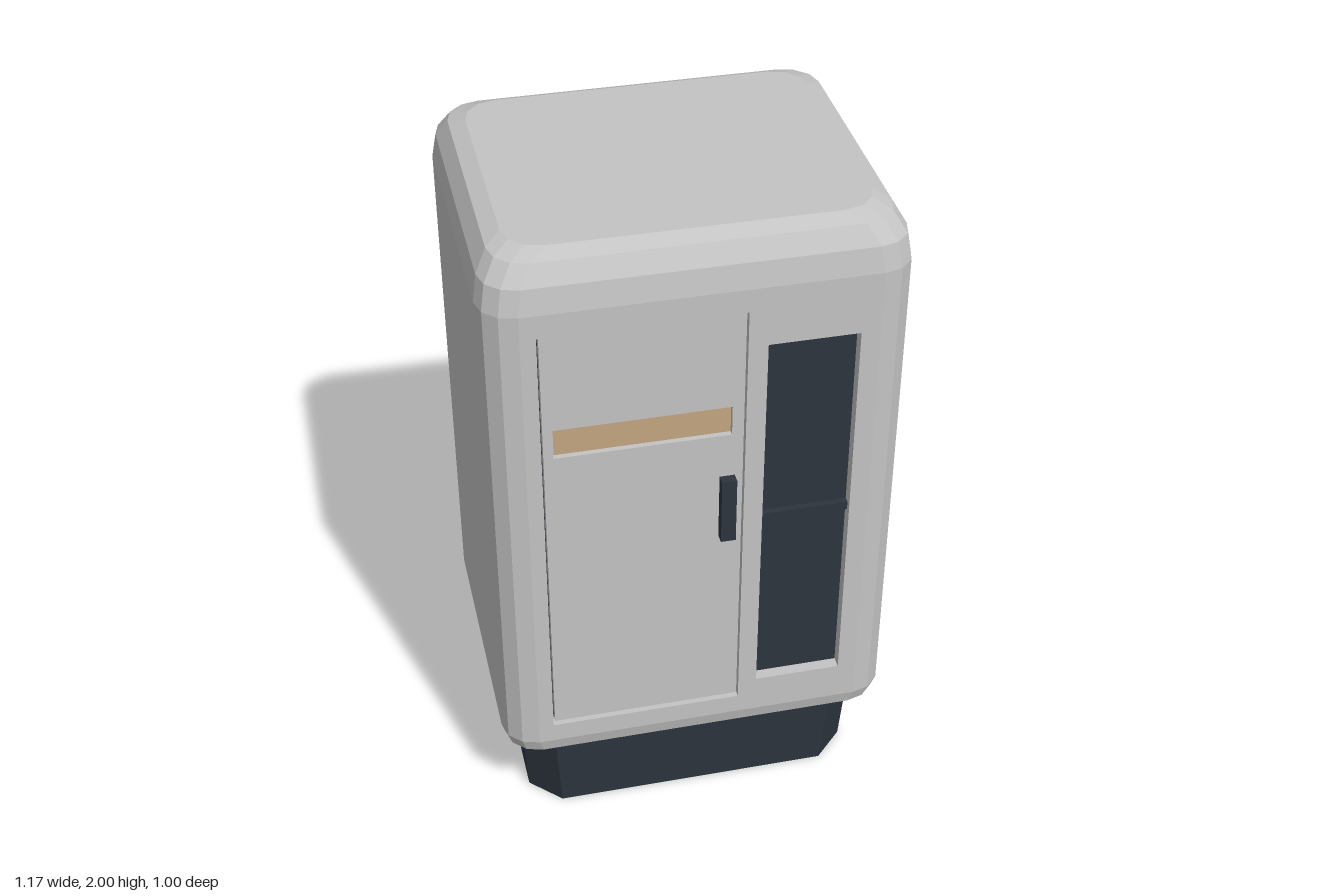
import * as THREE from 'three';

const HX = 0.585, HZ = 0.49, R = 0.1, CZ = -0.008; // shell half sizes, corner radius, z centre
const Y0 = 0.34, Y1 = 1.85;                        // flat wall span

const mat = (name, hex) => {
  const m = new THREE.MeshStandardMaterial({ color: hex });
  m.name = name;
  return m;
};

// rounded rectangle of points at height y, running from +x towards +z
function ring(hx, hz, r, seg, y) {
  const pts = [], sx = [1, -1, -1, 1], sz = [1, 1, -1, -1];
  for (let k = 0; k < 4; k++) for (let j = 0; j <= seg; j++) {
    const a = (k + j / seg) * Math.PI / 2;
    pts.push([sx[k] * (hx - r) + r * Math.cos(a), y, sz[k] * (hz - r) + r * Math.sin(a)]);
  }
  return pts;
}

// flat-shaded skin over stacked rings with end caps; skip(level, i) leaves a quad open
function loft(rings, skip = () => false) {
  const pos = [], n = rings[0].length, top = rings[rings.length - 1], low = rings[0];
  const tri = (...p) => p.forEach(v => pos.push(...v));
  for (let l = 0; l < rings.length - 1; l++) for (let i = 0; i < n; i++) {
    if (skip(l, i)) continue;
    const j = (i + 1) % n, a = rings[l], b = rings[l + 1];
    tri(a[i], b[i], b[j]);
    tri(a[i], b[j], a[j]);
  }
  for (let i = 0; i < n; i++) {
    const j = (i + 1) % n;
    tri([0, top[0][1], 0], top[j], top[i]);
    tri([0, low[0][1], 0], low[i], low[j]);
  }
  const g = new THREE.BufferGeometry();
  g.setAttribute('position', new THREE.Float32BufferAttribute(pos, 3));
  g.computeVertexNormals();
  return g;
}

// plate with rectangular openings; rectangles are [x0, y0, x1, y1]
function plate(rect, holes, depth) {
  const trace = (path, [a, b, c, d]) =>
    path.moveTo(a, b).lineTo(c, b).lineTo(c, d).lineTo(a, d).closePath();
  const s = trace(new THREE.Shape(), rect);
  holes.forEach(h => s.holes.push(trace(new THREE.Path(), h)));
  return new THREE.ExtrudeGeometry(s, { depth, bevelEnabled: false });
}

export function createModel() {
  const model = new THREE.Group();
  model.name = 'cabin';
  const grey = mat('light grey shell', 0xc4c4c4);
  const dark = mat('dark slate', 0x2d353d);
  const tan = mat('tan', 0xc3a680);
  const add = (name, geo, m, x = 0, y = 0, z = 0, parent = model) => {
    const mesh = new THREE.Mesh(geo, m);
    mesh.name = name;
    mesh.position.set(x, y, z);
    parent.add(mesh);
    return mesh;
  };

  // tapered base with chamfered corners
  add('base', loft([
    ring(0.503, 0.413, 0.09, 1, 0), ring(0.518, 0.428, 0.09, 1, 0.25),
  ]), dark, 0, 0, CZ);

  // shell with rounded top and bottom; the front and right walls are left open
  const rings = [], seg = 3;
  for (const [y, h, dir] of [[Y0, 0.09, -1], [Y1, 0.15, 1]]) {
    for (let s = 0; s <= 3; s++) {
      const a = (dir < 0 ? 3 - s : s) * Math.PI / 6, inset = 0.09 * (1 - Math.cos(a));
      rings.push(ring(HX - inset, HZ - inset, R, seg, y + dir * h * Math.sin(a)));
    }
  }
  const last = rings[0].length - 1;
  add('shell', loft(rings, (l, i) => l === 3 && (i === seg || i === last)), grey, 0, 0, CZ);

  // front wall with door and window openings
  const front = CZ + HZ, T = 0.04;
  const doorHole = [-0.442, 0.402, 0.12, 1.78], windowHole = [0.175, 0.46, 0.43, 1.67];
  add('frontWall', plate([R - HX, Y0, HX - R, Y1], [doorHole, windowHole], T), grey, 0, 0, front - T);

  // door set into its opening, with a dark gap on the hinge side
  const door = new THREE.Group();
  door.name = 'door';
  model.add(door);
  const strip = [-0.407, 1.38, 0.085, 1.473];
  add('doorGap', plate(doorHole, [], 0.004), dark, 0, 0, front - T, door);
  add('doorPanel', plate([-0.435, 0.405, 0.118, 1.777], [strip], 0.022), grey, 0, 0, front - 0.036, door);
  add('doorStrip', plate(strip, [], 0.005), tan, 0, 0, front - 0.035, door);
  add('doorHandle', new THREE.BoxGeometry(0.043, 0.21, 0.034), dark, 0.074, 1.135, 0.481, door);

  // recessed window with a crossbar
  add('windowPane', plate(windowHole, [], 0.005), dark, 0, 0, front - T);
  add('windowCrossbar', new THREE.BoxGeometry(0.255, 0.027, 0.02), dark, 0.3025, 1.069, front - 0.027);

  // right wall with a slatted vent
  const side = new THREE.Group();
  side.name = 'rightWallAssembly';
  side.position.set(HX - T, 0, CZ);
  side.rotation.y = Math.PI / 2;
  model.add(side);
  const vent = [-0.23, 0.5, 0.23, 0.73];
  add('rightWall', plate([R - HZ, Y0, HZ - R, Y1], [vent], T), grey, 0, 0, 0, side);
  add('ventBack', plate(vent, [], 0.005), dark, 0, 0, 0, side);
  for (let i = 0; i < 7; i++) {
    const slat = add('ventSlat', new THREE.BoxGeometry(0.458, 0.009, 0.026), grey, 0, 0.521 + i * 0.0315, 0.02, side);
    slat.rotation.x = 0.15;
  }
  return model;
}
